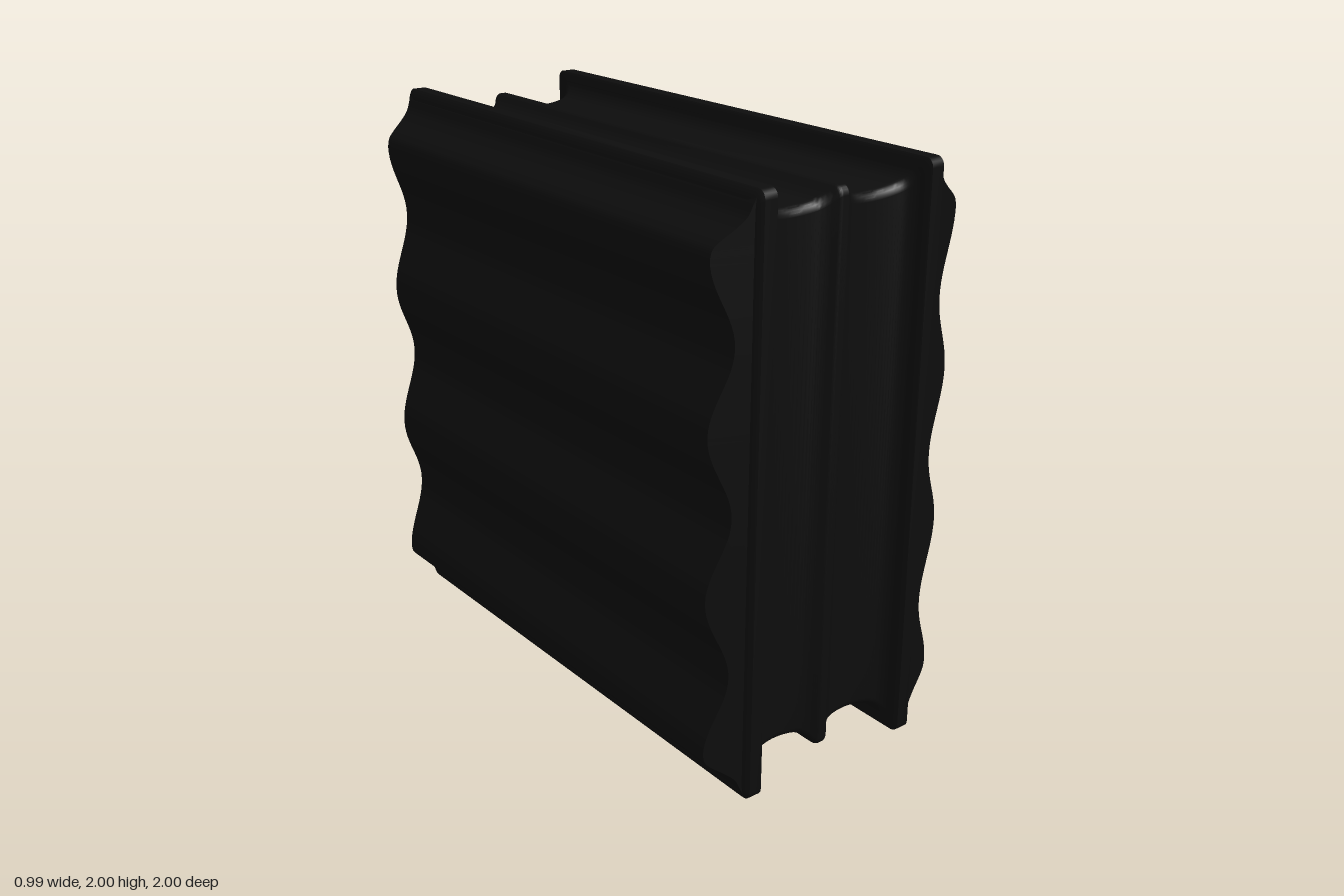
import * as THREE from 'three';
import { toCreasedNormals } from 'three/addons/utils/BufferGeometryUtils.js';

const material = new THREE.MeshStandardMaterial({ color: 0x0d0d0d });

// Skins rows of points; each row may close on itself.
function skin(rows, closed) {
  const n = rows[0].length;
  const index = [];
  for (let i = 0; i < rows.length - 1; i++) {
    for (let j = 0; j < (closed ? n : n - 1); j++) {
      const k = (j + 1) % n;
      const a = i * n + j, b = (i + 1) * n + j, c = (i + 1) * n + k, d = i * n + k;
      index.push(a, b, c, a, c, d);
    }
  }
  const geometry = new THREE.BufferGeometry();
  geometry.setAttribute('position', new THREE.Float32BufferAttribute(rows.flat(2), 3));
  geometry.setIndex(index);
  return toCreasedNormals(geometry, 0.6);
}

const smooth = (points, count) =>
  new THREE.SplineCurve(points.map((p) => new THREE.Vector2(...p))).getPoints(count).map((p) => [p.x, p.y]);

// Rounded square of half size r in the plane at x.
function roundedSquare(x, r) {
  const corner = 0.03, steps = 5, row = [];
  for (let k = 0; k < 4; k++) {
    const mid = (k + 0.5) * Math.PI / 2;
    for (let s = 0; s <= steps; s++) {
      const a = (k + s / steps) * Math.PI / 2;
      row.push([
        x,
        1 + Math.sign(Math.cos(mid)) * (r - corner) + corner * Math.cos(a),
        -Math.sign(Math.sin(mid)) * (r - corner) - corner * Math.sin(a),
      ]);
    }
  }
  return row;
}

// Rim with a bead along the middle, two grooves and two raised edges.
function rimGeometry() {
  const groove = smooth([
    [0, 0.953], [0.018, 0.95], [0.04, 0.927], [0.075, 0.908], [0.15, 0.901],
    [0.22, 0.906], [0.27, 0.92], [0.294, 0.943], [0.301, 0.965],
  ], 40);
  const half = [...groove, [0.302, 0.99], [0.308, 1], [0.355, 1], [0.365, 0.99], [0.372, 0.965], [0.375, 0.92]];
  const mirrored = half.slice(1).reverse().map(([x, r]) => [-x, r]);
  return skin([...mirrored, ...half].map(([x, r]) => roundedSquare(x, r)), true);
}

// Side panel with four horizontal waves and bevelled front and back ends.
function panelGeometry() {
  const edge = smooth([[0.495, 0.81], [0.487, 0.838], [0.463, 0.862], [0.425, 0.89], [0.391, 0.922], [0.374, 0.96], [0.362, 0.985]], 24);
  const wave = [];
  const count = 72;
  for (let i = 1; i < count; i++) {
    const t = i / count;
    wave.push([0.457 + 0.038 * Math.cos(t * 6 * Math.PI), -0.81 + 1.62 * t]);
  }
  const bottom = edge.map(([x, y]) => [x, -y]).reverse();
  const rows = [...bottom, ...wave, ...edge].map(([x, y]) => {
    const end = 0.98 - (x - 0.36) * 0.35;
    return [[0.355, 1 + y, -0.98], [x, 1 + y, -end], [x, 1 + y, end], [0.355, 1 + y, 0.98]];
  });
  return skin(rows, false);
}

export function createModel() {
  const group = new THREE.Group();
  group.name = 'ribbedCase';

  const rim = new THREE.Mesh(rimGeometry(), material);
  rim.name = 'groovedRim';
  group.add(rim);

  // The panel is symmetric in z, so a half turn makes the other side.
  const geometry = panelGeometry();
  for (const [name, turn] of [['leftWavyPanel', 0], ['rightWavyPanel', Math.PI]]) {
    const panel = new THREE.Mesh(geometry, material);
    panel.name = name;
    panel.rotation.y = turn;
    group.add(panel);
  }
  return group;
}
